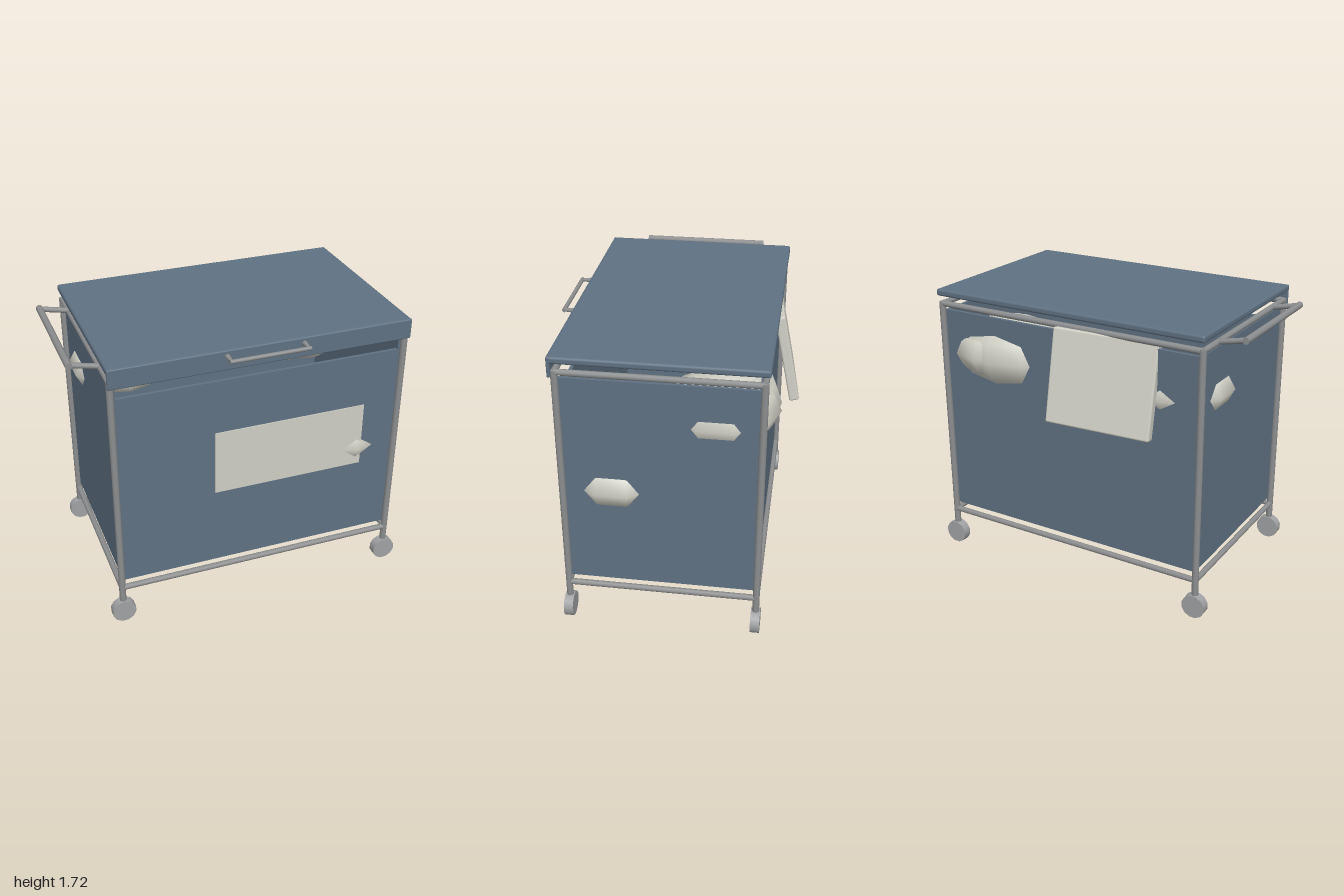
import * as THREE from 'three';
import { RoundedBoxGeometry } from 'three/addons/geometries/RoundedBoxGeometry.js';

const mat = (name, color) => Object.assign(new THREE.MeshStandardMaterial({ color }), { name });

export function createModel() {
  const canvas = mat('blue canvas', 0x5f7182);
  const cloth = mat('cream cloth', 0xd0cfc5);
  const steel = mat('grey steel', 0x8d8e8f);
  const rubber = mat('caster grey', 0xa0a2a4);
  const cart = new THREE.Group();
  cart.name = 'laundryCart';

  const add = (name, geometry, material, x = 0, y = 0, z = 0) => {
    const m = new THREE.Mesh(geometry, material);
    m.name = name;
    m.position.set(x, y, z);
    cart.add(m);
    return m;
  };
  const box = (name, material, w, h, d, x, y, z) =>
    add(name, new THREE.BoxGeometry(w, h, d), material, x, y, z);
  // Round bar between two points
  const bar = (name, a, b, r0, r1 = r0) => {
    const p = new THREE.Vector3(...a), q = new THREE.Vector3(...b);
    const dir = q.clone().sub(p);
    const m = add(name, new THREE.CylinderGeometry(r1, r0, dir.length(), 10), steel);
    m.position.copy(p).add(q).multiplyScalar(0.5);
    m.quaternion.setFromUnitVectors(new THREE.Vector3(0, 1, 0), dir.normalize());
    return m;
  };

  const cx = 0.06, cz = 0.02, hx = 0.87, hz = 0.55;

  // Corner posts and casters
  for (const sx of [-1, 1]) for (const sz of [-1, 1]) {
    const x = cx + sx * hx, z = cz + sz * hz;
    bar('cornerPost', [x, 0.1, z], [x, 1.64, z], 0.02);
    const wheel = new THREE.CylinderGeometry(0.073, 0.073, 0.054, 12).rotateX(Math.PI / 2);
    add('caster', wheel.rotateZ(Math.PI / 12), rubber, x, 0.074, z);
  }

  // Lower and upper frame rails
  for (const y of [0.24, 1.628]) for (const s of [-1, 1]) {
    bar('longRail', [cx - hx, y, cz + s * hz], [cx + hx, y, cz + s * hz], 0.018);
    bar('sideRail', [cx + s * hx, y, cz - hz], [cx + s * hx, y, cz + hz], 0.018);
  }

  // Canvas bin, open at the top with a lower front
  box('floor', canvas, 1.72, 0.02, 1.08, cx, 0.295, cz);
  box('frontWall', canvas, 1.72, 1.225, 0.02, cx, 0.9025, 0.55);
  box('backWall', canvas, 1.72, 1.3, 0.02, cx, 0.94, -0.51);
  for (const s of [-1, 1])
    box('sideWall', canvas, 0.02, 1.3, 1.08, cx + s * 0.85, 0.94, cz);
  box('frontLabel', cloth, 0.93, 0.405, 0.008, 0.245, 0.9825, 0.562);

  // Lid with a hanging front lip
  add('lid', new RoundedBoxGeometry(1.78, 0.042, 1.16, 2, 0.014), canvas, cx, 1.7, cz);
  add('lidLip', new RoundedBoxGeometry(1.78, 0.12, 0.02, 2, 0.008), canvas, cx, 1.66, 0.595);

  // Lid pull
  for (const x of [-0.165, 0.285])
    bar('lidPullArm', [x, 1.685, 0.6], [x, 1.685, 0.672], 0.016, 0.009);
  bar('lidPullBar', [-0.175, 1.685, 0.67], [0.295, 1.685, 0.67], 0.012);

  // Push handle on the side
  for (const z of [0.38, -0.36])
    bar('pushHandleArm', [-0.81, 1.632, z], [-0.98, 1.668, z], 0.016);
  bar('pushHandleBar', [-0.98, 1.668, 0.4], [-0.98, 1.668, -0.375], 0.02);

  // Laundry bundles bulging through the canvas: centre, radii, turn
  const half = Math.PI / 10;
  const bundles = [
    [0.56, 1.33, -0.325, 0.37, 0.225, 0.28, half],
    [0.68, 0.89, 0.295, 0.3, 0.17, 0.3, half],
    [0.655, 1.333, -0.28, 0.3, 0.19, 0.33, half],
    [-0.555, 1.3, -0.25, 0.3, 0.15, 0.3, half],
    [0.16, 0.525, 0.015, 0.33, 0.27, 0.32, 0],
  ];
  for (const [x, y, z, rx, ry, rz, turn] of bundles)
    add('laundryBundle', new THREE.SphereGeometry(1, 10, 6).rotateY(turn).scale(rx, ry, rz), cloth, x, y, z);

  // Folded sheet leaning out over the back
  const sheet = add('foldedSheet', new RoundedBoxGeometry(0.64, 0.55, 0.06, 2, 0.012), cloth, -0.22, 1.35, -0.575);
  sheet.rotation.set(0.2, 0.11, 0);

  return cart;
}
